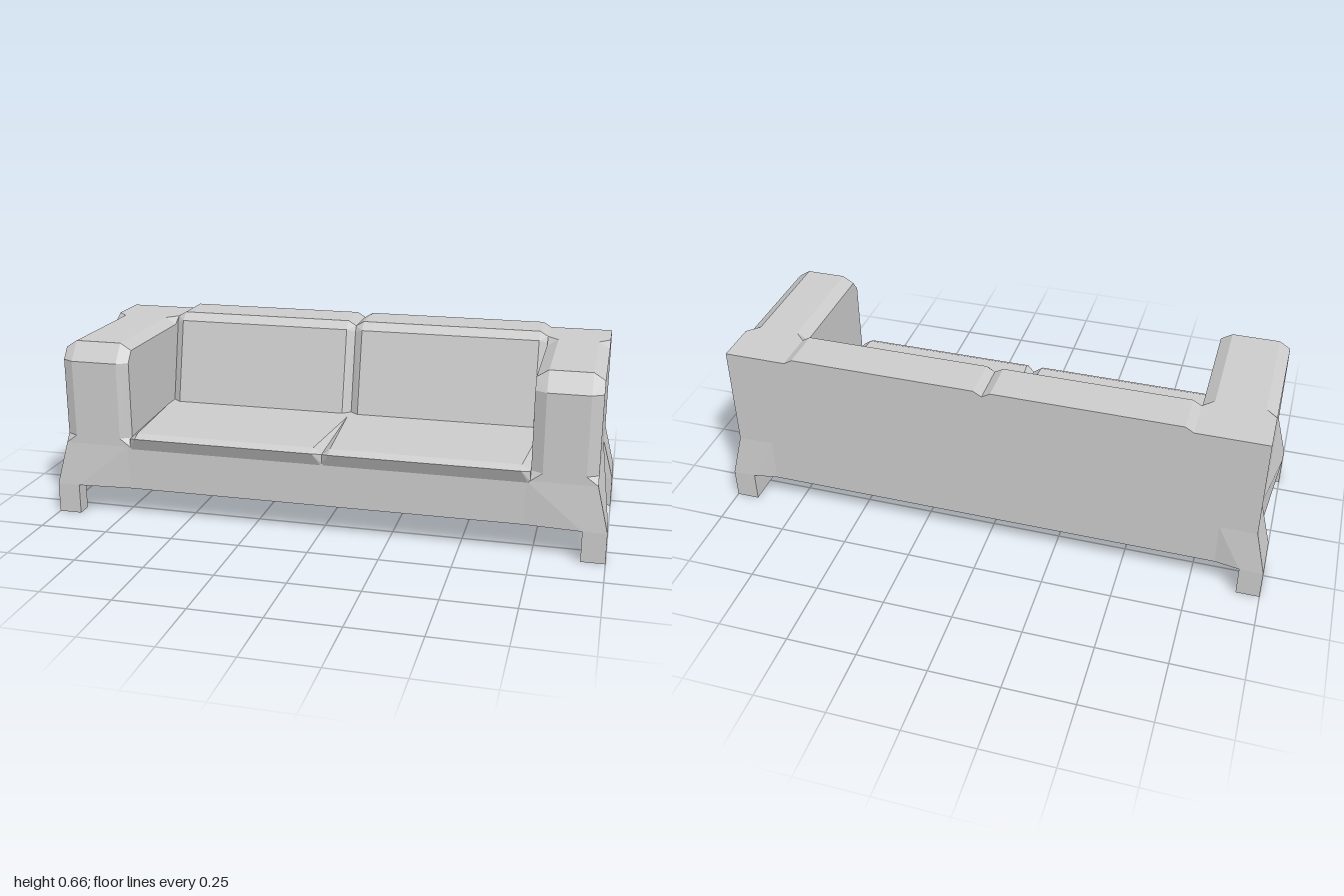
import * as THREE from 'three';
import { ConvexGeometry } from 'three/addons/geometries/ConvexGeometry.js';

const FRONT = 0.337, BACK = -0.345, SIDE = 0.96;
const FLOOR = 0.11, BASE_TOP = 0.27;

export function createModel() {
  const sofa = new THREE.Group();
  sofa.name = 'sofa';
  const material = new THREE.MeshStandardMaterial({ color: 0xcccccc, flatShading: true });

  function add(geometry, name, parent = sofa) {
    const mesh = new THREE.Mesh(geometry, material);
    mesh.name = name;
    parent.add(mesh);
    return mesh;
  }

  // Faceted solid around a few corners
  function solid(points, name, parent) {
    return add(new ConvexGeometry(points.map((p) => new THREE.Vector3(...p))), name, parent);
  }

  // Box given by its limits
  function block(x0, x1, y0, y1, z0, z1, name, parent) {
    const geometry = new THREE.BoxGeometry(Math.abs(x1 - x0), y1 - y0, z1 - z0);
    geometry.translate((x0 + x1) / 2, (y0 + y1) / 2, (z0 + z1) / 2);
    return add(geometry, name, parent);
  }

  // Base and back wall
  block(-SIDE, SIDE, FLOOR, BASE_TOP, BACK, FRONT, 'base');
  block(-SIDE, SIDE, BASE_TOP, 0.645, BACK, -0.188, 'backWall');

  // Legs with the flares that blend them into the base
  function legs(s, label) {
    const group = new THREE.Group();
    group.name = label + 'Legs';
    sofa.add(group);
    block(s * 0.917, s, 0, FLOOR, 0.295, 0.352, 'frontLeg', group);
    block(s * 0.917, s, 0, FLOOR, -0.36, -0.197, 'backLeg', group);
    solid([
      [s, FLOOR, 0.352], [s, FLOOR, 0.295], [s * 0.917, FLOOR, 0.352],
      [s * SIDE, BASE_TOP, FRONT], [s * SIDE, BASE_TOP, -0.15], [s * SIDE, FLOOR, -0.15],
      [s * 0.72, FLOOR, FRONT], [s * 0.72, BASE_TOP, FRONT], [s * 0.9, FLOOR, 0.2],
    ], 'frontFlare', group);
    solid([
      [s, FLOOR, -0.36], [s, FLOOR, -0.197], [s * 0.917, FLOOR, -0.36],
      [s * SIDE, BASE_TOP, BACK], [s * SIDE, 0.26, -0.188], [s * SIDE, FLOOR, -0.188],
      [s * 0.83, FLOOR, BACK], [s * 0.83, BASE_TOP, BACK], [s * 0.9, FLOOR, -0.25],
    ], 'backFlare', group);
  }

  // Armrest with bevelled front and top
  function arm(s, inner, label) {
    const group = new THREE.Group();
    group.name = label + 'Armrest';
    sofa.add(group);
    const body = [], foot = [], ramp = [];
    for (const [edge, inset] of [[SIDE, 0.92], [inner, inner + 0.04]]) {
      const e = s * edge, i = s * inset;
      body.push(
        [e, 0.3, 0.315], [i, 0.3, FRONT], [e, 0.58, 0.315], [i, 0.58, FRONT],
        [e, 0.62, 0.285], [i, 0.645, 0.285], [e, 0.62, -0.147], [i, 0.645, -0.147],
        [e, 0.3, -0.147],
      );
      foot.push(
        [e, BASE_TOP, FRONT], [e, BASE_TOP, -0.19], [e, 0.3, 0.315], [i, 0.3, FRONT], [e, 0.3, -0.19],
      );
      ramp.push(
        [e, 0.62, -0.147], [i, 0.645, -0.147], [e, 0.3, -0.147], [e, 0.645, -0.188], [e, 0.3, -0.188],
      );
    }
    solid(body, 'armBody', group);
    solid(foot, 'armFoot', group);
    solid(ramp, 'armBackRamp', group);
  }

  // Seat and back cushion pair, bevelled along its edges
  function cushions(x0, x1, label) {
    const group = new THREE.Group();
    group.name = label + 'Cushions';
    sofa.add(group);
    const seat = [], back = [];
    for (const [e, i] of [[x0, x0 + 0.03], [x1, x1 - 0.03]]) {
      seat.push(
        [i, 0.311, 0.363], [i, 0.325, 0.335], [i, BASE_TOP, FRONT],
        [e, 0.303, 0.337], [e, BASE_TOP, FRONT], [e, 0.325, -0.04],
        [e, 0.325, -0.2], [e, 0.25, -0.2], [e, 0.25, 0.33],
      );
      back.push(
        [i, 0.663, -0.188], [i, 0.663, BACK], [i, 0.635, -0.155], [i, 0.32, -0.08],
        [e, 0.645, -0.188], [e, 0.645, BACK], [e, 0.625, -0.175], [e, 0.32, -0.105],
        [e, 0.32, BACK],
      );
    }
    solid(seat, 'seatCushion', group);
    solid(back, 'backCushion', group);
  }

  legs(1, 'left');
  legs(-1, 'right');
  arm(1, 0.735, 'left');
  arm(-1, 0.71, 'right');
  cushions(0.01, 0.735, 'left');
  cushions(-0.71, 0.01, 'right');
  return sofa;
}
